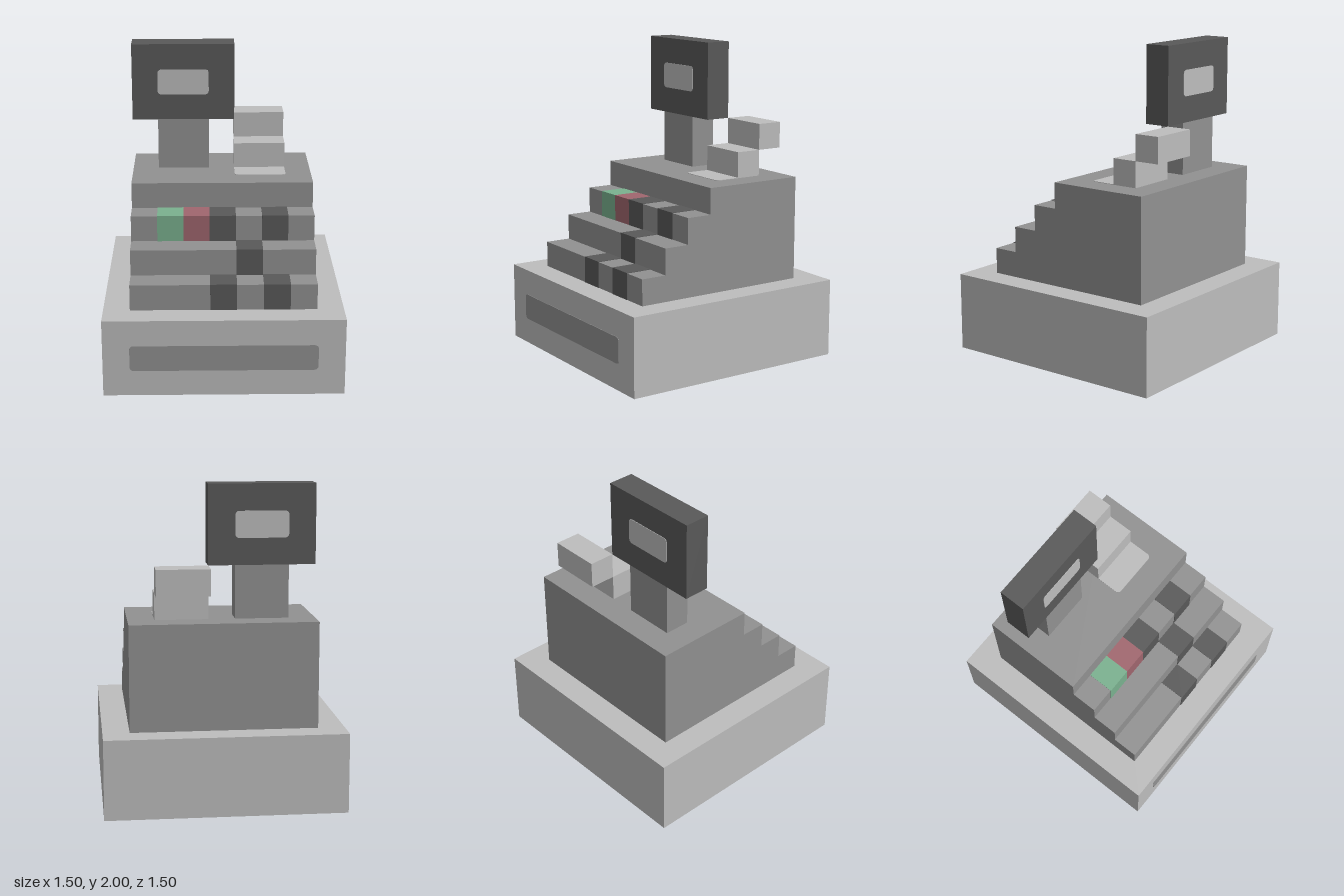
import * as THREE from 'three';

const U = 1 / 6; // grid cell
const mat = (name, color) => {
  const m = new THREE.MeshStandardMaterial({ color });
  m.name = name;
  return m;
};

export function createModel() {
  const light = mat('light grey', 0xbdbdbd);
  const mid = mat('mid grey', 0x919191);
  const dark = mat('dark grey', 0x595959);
  const green = mat('green', 0x7ab18f);
  const red = mat('red', 0xa0666e);
  const model = new THREE.Group();
  model.name = 'cashRegister';

  const add = (name, geometry, material) => {
    const mesh = new THREE.Mesh(geometry, material);
    mesh.name = name;
    model.add(mesh);
    return mesh;
  };

  // Box given by its limits, in grid cells
  const box = (name, material, [x0, x1], [y0, y1], [z0, z1], grow = 0) =>
    add(name, new THREE.BoxGeometry((x1 - x0) * U, (y1 - y0) * U + grow, (z1 - z0) * U + grow), material)
      .position.set((x0 + x1) / 2 * U, (y0 + y1) / 2 * U, (z0 + z1) / 2 * U);

  // Thin plate with rounded corners, facing +z
  const plate = (name, material, width, height, r = 0.025) => {
    const w = width * U / 2, h = height * U / 2, s = new THREE.Shape();
    s.absarc(w - r, h - r, r, 0, Math.PI / 2);
    s.absarc(-w + r, h - r, r, Math.PI / 2, Math.PI);
    s.absarc(-w + r, -h + r, r, Math.PI, Math.PI * 1.5);
    s.absarc(w - r, -h + r, r, Math.PI * 1.5, Math.PI * 2);
    const g = new THREE.ExtrudeGeometry(s, { depth: 0.004, bevelEnabled: false, curveSegments: 4 });
    g.translate(0, 0, -0.001);
    return add(name, g, material);
  };

  // Base with cash drawer front
  box('base', light, [-4.5, 4.5], [0, 3], [-4.5, 4.5]);
  plate('drawerFront', mid, 7, 1).position.set(0, 1.5 * U, 4.5 * U);

  // Stepped body: side profile extruded across the width
  const profile = new THREE.Shape();
  profile.moveTo(-3.5 * U, 3 * U);
  for (let i = 0; i < 4; i++) {
    profile.lineTo((3.5 - i) * U, (3 + i) * U);
    profile.lineTo((3.5 - i) * U, (4 + i) * U);
  }
  profile.lineTo(-3.5 * U, 7 * U);
  const body = new THREE.ExtrudeGeometry(profile, { depth: 7 * U, bevelEnabled: false });
  body.translate(0, 0, -3.5 * U).rotateY(-Math.PI / 2);
  add('steppedBody', body, mid);

  // Keys wrap the front and top of each step: row, column, material
  const keys = [
    [0, 0, dark], [0, 2, dark], [1, 1, dark],
    [2, -2, green], [2, -1, red], [2, 0, dark], [2, 2, dark],
  ];
  for (const [row, col, material] of keys) {
    box('key', material, [col - 0.5, col + 0.5], [3 + row, 4 + row], [2.5 - row, 3.5 - row], 0.006);
  }

  // Customer display on its post, with a readout on both sides
  box('displayPost', mid, [-2.5, -0.5], [7, 9], [-2.5, -1.5]);
  box('display', dark, [-3.5, 0.5], [9, 12], [-2.5, -1.5]);
  for (const side of [1, -1]) {
    const readout = plate('readout', light, 2, 1);
    readout.position.set(-1.5 * U, 10.5 * U, (-2 + side * 0.5) * U);
    if (side < 0) readout.rotation.y = Math.PI;
  }

  // Receipt curling back from its slot
  const slot = plate('receiptSlot', light, 2, 1.5);
  slot.rotation.x = -Math.PI / 2;
  slot.position.set(1.5 * U, 7 * U, -1.25 * U);
  box('receiptLower', light, [0.5, 2.5], [7, 8], [-2.5, -1.5]);
  box('receiptUpper', light, [0.5, 2.5], [8, 9], [-3.5, -2.5]);

  return model;
}
